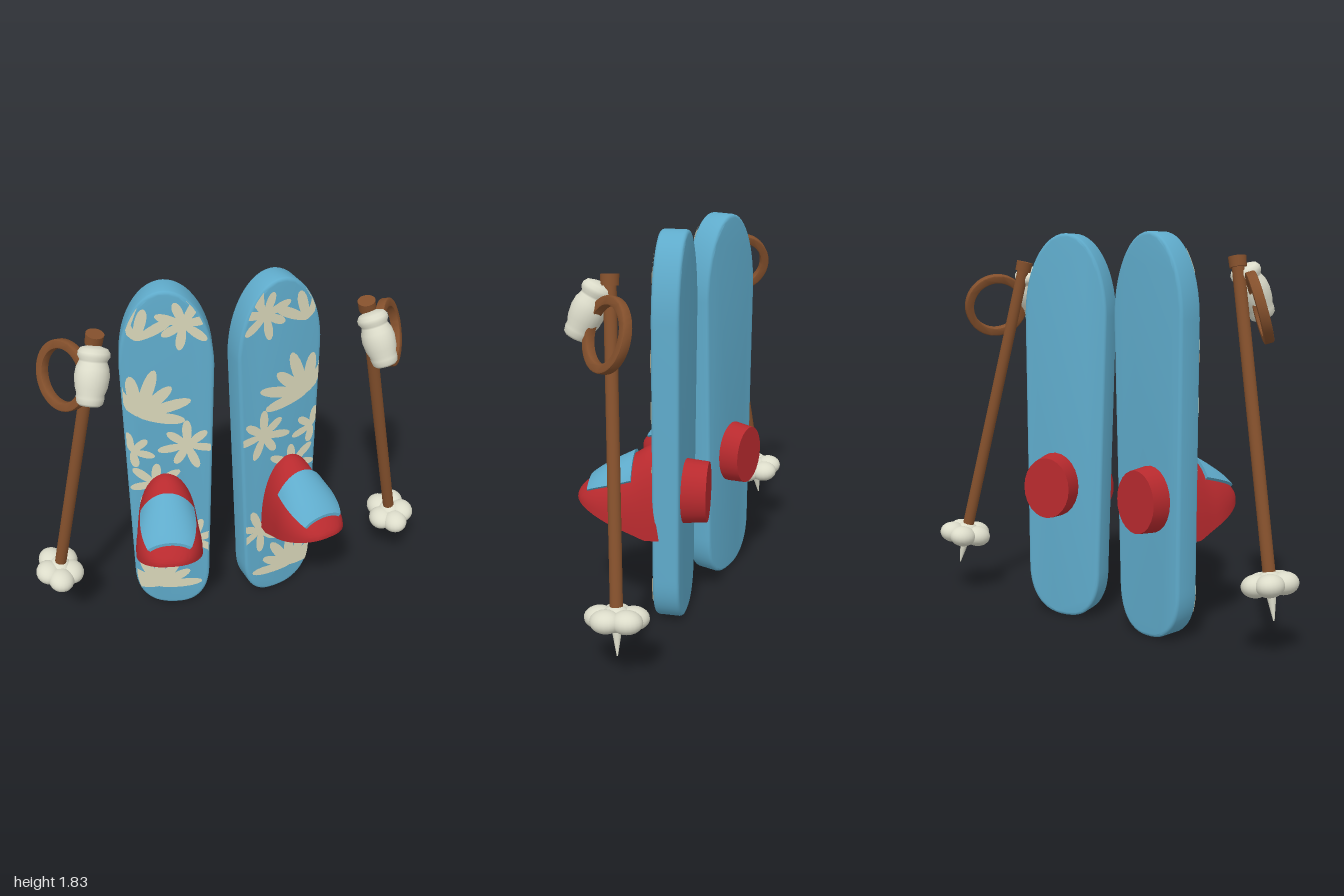
import * as THREE from 'three';
import { toCreasedNormals } from 'three/addons/utils/BufferGeometryUtils.js';

const paint = (name, color, side = THREE.FrontSide) => {
  const m = new THREE.MeshStandardMaterial({ color, side });
  m.name = name;
  return m;
};
const blue = paint('ski blue', 0x5fabcb);
const leafCream = paint('leaf cream', 0xd8d6b8, THREE.DoubleSide);
const red = paint('boot red', 0xb82a2e);
const brown = paint('wood brown', 0x84502c);
const bone = paint('pole cream', 0xdcdcca);

const V = (x, y, z) => new THREE.Vector3(x, y, z);
const UP = V(0, 1, 0);

function add(parent, name, geometry, material) {
  const mesh = new THREE.Mesh(geometry, material);
  mesh.name = name;
  parent.add(mesh);
  return mesh;
}

// Places an object built around the y axis so it runs from a to b
function along(object, a, b) {
  object.position.copy(a).lerp(b, 0.5);
  object.quaternion.setFromUnitVectors(UP, b.clone().sub(a).normalize());
  return object;
}

// Grid surface from a function of two indices
function sheet(rows, cols, point) {
  const pos = [], index = [];
  for (let i = 0; i <= rows; i++) {
    for (let j = 0; j <= cols; j++) {
      pos.push(...point(i, j));
      if (i < rows && j < cols) {
        const a = i * (cols + 1) + j, b = a + cols + 1;
        index.push(a, a + 1, b, a + 1, b + 1, b);
      }
    }
  }
  const g = new THREE.BufferGeometry();
  g.setAttribute('position', new THREE.Float32BufferAttribute(pos, 3));
  g.setIndex(index);
  return toCreasedNormals(g, 0.7);
}

// Ski outline: half width at height y; dir +1 is the outer edge, -1 the tapered inner edge
const LOW = 0.25, HIGH = 1.45, TOP = 1.83, THICK = 0.125;
function edge(y, dir) {
  const k = THREE.MathUtils.clamp((y - LOW) / (HIGH - LOW), 0, 1);
  let cap = 1;
  if (y < LOW) cap = Math.pow(Math.max(0, 1 - Math.pow((LOW - y) / LOW, 2.4)), 1 / 2.4);
  if (y > HIGH) cap = Math.sqrt(Math.max(0, 1 - ((y - HIGH) / (TOP - HIGH)) ** 2));
  return dir * cap * (dir > 0 ? 0.205 + 0.008 * k : 0.172 + 0.041 * k);
}

// Leaf bursts: x, y, length, start angle, end angle, petals
const LEAVES = [
  [0.13, 1.6, 0.18, 60, 150, 3], [-0.08, 1.67, 0.13, -80, 220, 7],
  [0.14, 1.2, 0.25, 55, 190, 6], [-0.08, 1.02, 0.14, -110, 190, 7],
  [0.18, 1.0, 0.11, 80, 260, 4], [0.08, 0.8, 0.14, -60, 200, 6],
  [-0.09, 0.43, 0.14, -90, 210, 7], [0.09, 0.13, 0.22, 15, 175, 7],
];

function leafGeometry(s) {
  const shapes = [];
  for (const [x, y, r, from, to, n] of LEAVES) {
    for (let k = 0; k < n; k++) {
      const a = THREE.MathUtils.degToRad(from + (to - from) * k / (n - 1));
      const len = r * (k % 2 ? 0.85 : 1), wide = 0.014 + 0.07 * r;
      const pts = [];
      for (let i = 0; i < 18; i++) {
        const q = i / 18 * Math.PI * 2;
        const l = len * (0.5 - 0.52 * Math.cos(q));
        const w = wide * Math.sin(q) * (0.75 + 0.35 * l / len);
        const py = THREE.MathUtils.clamp(y + l * Math.sin(a) + w * Math.cos(a), 0.02, TOP - 0.02);
        const px = THREE.MathUtils.clamp(x + l * Math.cos(a) - w * Math.sin(a),
          Math.min(0, edge(py, -1) + 0.008), Math.max(0, edge(py, 1) - 0.008));
        pts.push(new THREE.Vector2(s * px, py));
      }
      shapes.push(new THREE.Shape(pts));
    }
  }
  return new THREE.ShapeGeometry(shapes);
}

function makeSki(s, x, z, angle) {
  const g = new THREE.Group();
  g.name = s > 0 ? 'leftSki' : 'rightSki';
  g.position.set(x, 0, z);
  g.rotation.y = angle;
  const ys = [], N = 14;
  for (let i = 0; i <= N; i++) ys.push(LOW - LOW * Math.cos(i / N * Math.PI / 2));
  for (let i = 0; i <= N; i++) ys.push(HIGH + (TOP - HIGH) * Math.sin(i / N * Math.PI / 2));
  const outer = ys.map(y => new THREE.Vector2(s * edge(y, 1), y));
  const inner = ys.slice(1, -1).reverse().map(y => new THREE.Vector2(s * edge(y, -1), y));
  const bevel = 0.015;
  const board = new THREE.ExtrudeGeometry(new THREE.Shape([...outer, ...inner]), {
    depth: THICK - 2 * bevel, bevelSize: bevel, bevelThickness: bevel, bevelOffset: -bevel, bevelSegments: 3,
  });
  board.translate(0, 0, -THICK / 2 + bevel);
  add(g, 'board', toCreasedNormals(board, 0.6), blue);
  add(g, 'leafPattern', leafGeometry(s), leafCream).position.z = THICK / 2 + 0.002;
  return g;
}

// Boot profile points: z, top height, half width
const bootCurve = new THREE.CatmullRomCurve3([
  V(-0.16, 0.84, 0.14), V(-0.05, 0.86, 0.15), V(0.03, 0.815, 0.155), V(0.12, 0.765, 0.16),
  V(0.2, 0.715, 0.143), V(0.26, 0.665, 0.105), V(0.292, 0.63, 0.055), V(0.3, 0.606, 0.001),
]);
function bootPoint(t, a, grow = 0) {
  const p = bootCurve.getPoint(t);
  const bottom = Math.max(0.45, 0.465 + 0.465 * p.x);
  const rise = Math.pow(Math.max(0, Math.sin(a)), 0.8);
  return [(p.z + grow) * Math.cos(a), bottom + (p.y - bottom + grow) * rise, p.x];
}

function makeBoot(s, x, angle) {
  const g = new THREE.Group();
  g.name = s > 0 ? 'leftBoot' : 'rightBoot';
  g.position.x = x;
  g.rotation.y = angle;
  add(g, 'toeBox', sheet(36, 48, (i, j) => bootPoint(i / 36, j / 48 * Math.PI * 2)), red);
  // Heel plug coming out behind the ski
  const heel = new THREE.CylinderGeometry(0.165, 0.143, 0.22, 24);
  heel.rotateX(Math.PI / 2).scale(0.8, 1, 1);
  add(g, 'heel', heel, red).position.set(0, 0.645, -0.195);
  // Raised flap over the instep, its rim tucked into the boot
  add(g, 'flap', sheet(14, 20, (i, j) => {
    const rim = i === 0 || j === 0 || i === 14 || j === 20;
    const u = (THREE.MathUtils.clamp(i, 1, 13) - 1) / 12, v = (THREE.MathUtils.clamp(j, 1, 19) - 1) / 18;
    return bootPoint(0.29 + 0.37 * u, Math.PI * (0.23 + 0.54 * v), rim ? -0.01 : 0.016);
  }), blue);
  return g;
}

function makePole(s, top, tip) {
  const g = new THREE.Group();
  g.name = s > 0 ? 'leftPole' : 'rightPole';
  const at = t => top.clone().lerp(tip, t);
  const rod = (name, r0, r1, t0, t1, mat) => {
    const a = at(t0), b = at(t1);
    along(add(g, name, new THREE.CylinderGeometry(r0, r1, a.distanceTo(b), 20), mat), b, a);
  };
  rod('shaft', 0.028, 0.028, 0, 0.92, brown);
  rod('endKnob', 0.04, 0.038, 0, 0.03, brown);
  rod('spike', 0.03, 0.003, 0.9, 1, bone);

  // Grip, leaning forward from the shaft
  const grip = [[0, -0.11], [0.012, -0.11], [0.016, -0.125], [0.045, -0.125], [0.056, -0.115], [0.061, -0.09],
    [0.06, -0.075], [0.07, -0.045], [0.075, 0], [0.071, 0.035], [0.06, 0.062], [0.06, 0.07],
    [0.069, 0.085], [0.069, 0.102], [0.058, 0.118], [0.03, 0.127], [0, 0.128]];
  const gripMesh = add(g, 'grip', new THREE.LatheGeometry(grip.map(p => new THREE.Vector2(...p)), 28), bone);
  along(gripMesh, top.clone().add(V(s * 0.065, -0.265, 0.13)), top.clone().add(V(s * 0.01, -0.04, 0.035)));

  // Wrist strap: a flat band bent into a ring
  const ring = new THREE.Shape().absarc(0, 0, 0.152, 0, Math.PI * 2);
  ring.holes.push(new THREE.Path().absarc(0, 0, 0.124, 0, Math.PI * 2, true));
  const band = new THREE.ExtrudeGeometry(ring, {
    depth: 0.03, bevelSize: 0.006, bevelThickness: 0.006, bevelSegments: 2, curveSegments: 40,
  });
  band.translate(0, 0, -0.015);
  const strap = add(g, 'strap', toCreasedNormals(band, 0.6), brown);
  strap.position.copy(top).add(V(s * 0.145, -0.215, -0.055));
  strap.quaternion.setFromUnitVectors(V(0, 0, 1), V(s * 0.8, 0.28, 0.53).normalize());

  // Cloud-shaped basket of flattened lobes
  const basket = new THREE.Group();
  basket.name = 'basket';
  const lobe = new THREE.SphereGeometry(0.07, 20, 14);
  for (let k = 0; k < 6; k++) {
    const a = k / 5 * Math.PI * 2 + 0.3, d = k < 5 ? 1 : 0;
    const m = add(basket, 'lobe', lobe, bone);
    m.position.set(s * d * 0.058 * Math.cos(a), 0, d * 0.078 * Math.sin(a));
    m.scale.set(0.9, d ? 0.72 : 0.85, 1);
  }
  g.add(along(basket, at(0.92), at(0.88)));
  return g;
}

export function createModel() {
  const model = new THREE.Group();
  model.name = 'skisAndPoles';
  model.add(
    makeSki(1, 0.21, -0.12, 0.205), makeSki(-1, -0.29, -0.138, -0.18),
    makeBoot(1, 0.303, 0.265), makeBoot(-1, -0.345, -0.17),
    makePole(1, V(0.595, 1.7, 0), V(0.92, 0.15, -0.17)),
    makePole(-1, V(-0.615, 1.72, 0.005), V(-0.91, 0.18, -0.145)),
  );
  return model;
}
